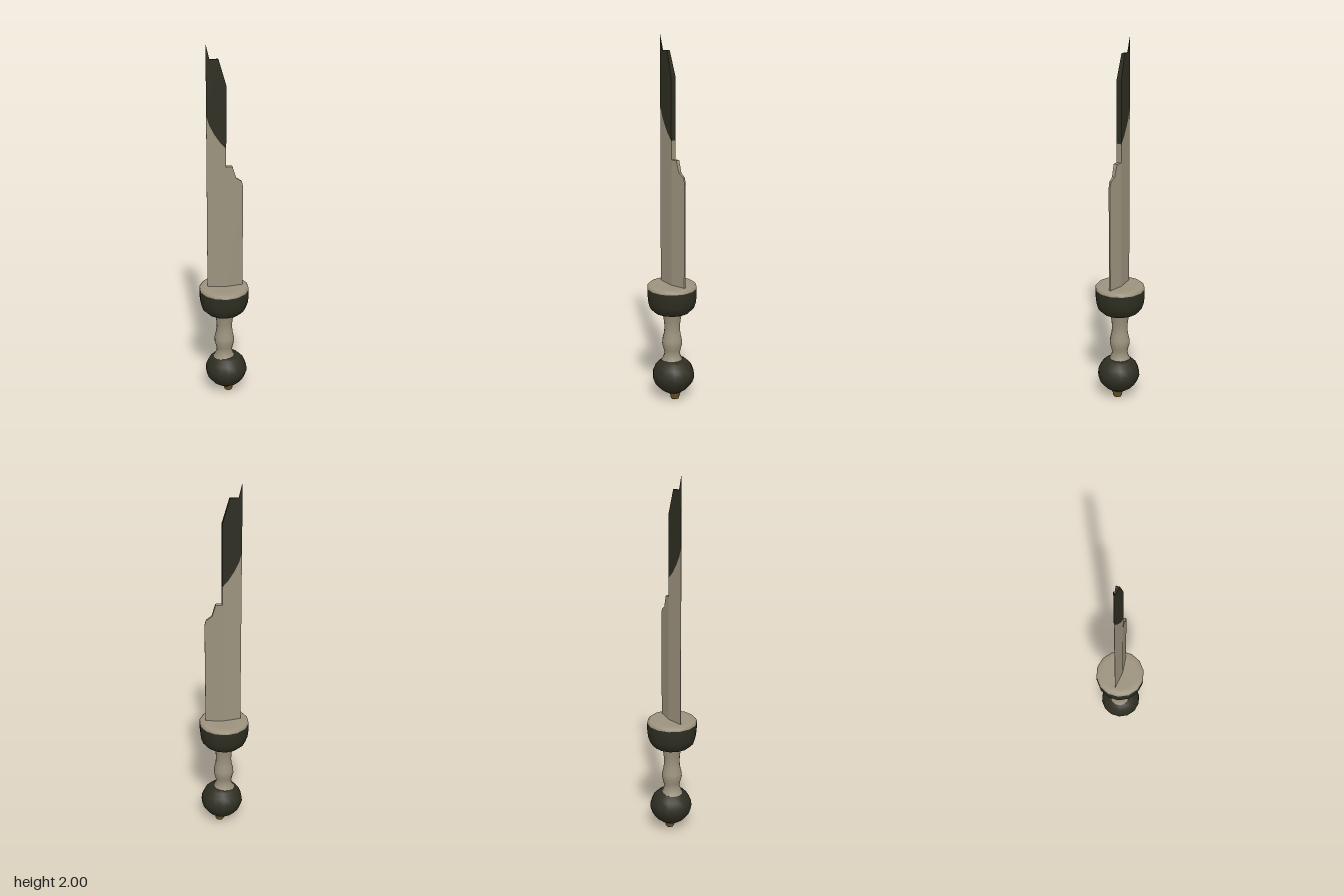
import * as THREE from 'three';

const material = (name, color, side = THREE.FrontSide) => {
  const m = new THREE.MeshStandardMaterial({ color, side });
  m.name = name;
  return m;
};

export function createModel() {
  const group = new THREE.Group();
  const bone = material('paleBone', 0x9c937e);
  const dark = material('darkBronze', 0x2f2e22);
  const brass = material('brass', 0x6e5426);

  const add = (name, geometry, mat, x = 0) => {
    const mesh = new THREE.Mesh(geometry, mat);
    mesh.name = name;
    mesh.position.x = x;
    group.add(mesh);
    return mesh;
  };

  // Turned parts: profile of [radius, height], from bottom to top
  const turned = (name, profile, mat, x, sides = 14) => add(name,
    new THREE.LatheGeometry(profile.map(([r, y]) => new THREE.Vector2(r, y)), sides), mat, x);

  // Blade piece: flat outline swollen into a diamond section around a central ridge
  const RIDGE = 0.008, LEFT = -0.093, RIGHT = 0.1;
  const halfThickness = (x) => x < RIDGE
    ? THREE.MathUtils.mapLinear(x, LEFT, RIDGE, 0.001, 0.0145)
    : THREE.MathUtils.mapLinear(x, RIDGE, RIGHT, 0.0145, 0.004);
  const bladePiece = (name, outline, mat) => {
    const shape = new THREE.Shape(outline.map(([x, y]) => new THREE.Vector2(x, y)));
    const geo = new THREE.ExtrudeGeometry(shape, { depth: 1, bevelEnabled: false });
    const p = geo.attributes.position;
    for (let i = 0; i < p.count; i++) {
      const x = p.getX(i);
      p.setZ(i, (p.getZ(i) > 0.5 ? 1 : -1) * halfThickness(x) - 0.001);
    }
    geo.computeVertexNormals();
    add(name, geo, mat);
  };

  // Curved border between the pale blade and its dark broken end
  const border = [[LEFT, 1.64], [-0.078, 1.59], [-0.055, 1.545], [-0.025, 1.5], [RIDGE, 1.465]];
  bladePiece('bladeLongHalf', [[LEFT, 0.66], [RIDGE, 0.66], ...[...border].reverse()], bone);
  bladePiece('bladeDarkEnd', [...border, [RIDGE, 1.795], [-0.03, 1.925], [-0.075, 1.925], [LEFT, 2]], dark);
  bladePiece('bladeBrokenHalf', [[RIDGE, 0.66], [RIGHT, 0.66], [RIGHT, 1.25], [0.092, 1.28],
    [0.062, 1.3], [0.042, 1.365], [RIDGE, 1.365]], bone);

  // Guard: dark cup, pale plate on top, pale collar beneath
  turned('guard', [[0.075, 0.513], [0.1, 0.52], [0.122, 0.542], [0.133, 0.575], [0.137, 0.615], [0.137, 0.655]], dark, -0.002);
  turned('guardPlate', [[0.137, 0.655], [0.136, 0.665], [0.127, 0.674], [0.1, 0.675], [0, 0.672]], bone, -0.002);
  turned('guardCollar', [[0.046, 0.508], [0.077, 0.513]], bone, -0.002);

  // Grip with a finger swell
  turned('grip', [[0.062, 0.225], [0.053, 0.24], [0.043, 0.268], [0.048, 0.295], [0.056, 0.325], [0.055, 0.35],
    [0.047, 0.385], [0.043, 0.42], [0.046, 0.46], [0.053, 0.5], [0.056, 0.515]], bone, 0);

  // Ball pommel and its end button, leaning slightly to the left
  turned('pommel', [[0, 0.038], [0.045, 0.043], [0.08, 0.068], [0.106, 0.1], [0.118, 0.135], [0.115, 0.165],
    [0.1, 0.2], [0.075, 0.225], [0.055, 0.234], [0, 0.236]], dark, 0.011);
  turned('pommelButton', [[0, 0], [0.022, 0.002], [0.026, 0.012], [0.024, 0.02], [0.031, 0.028], [0.03, 0.045]], brass, 0.023, 10);

  return group;
}
